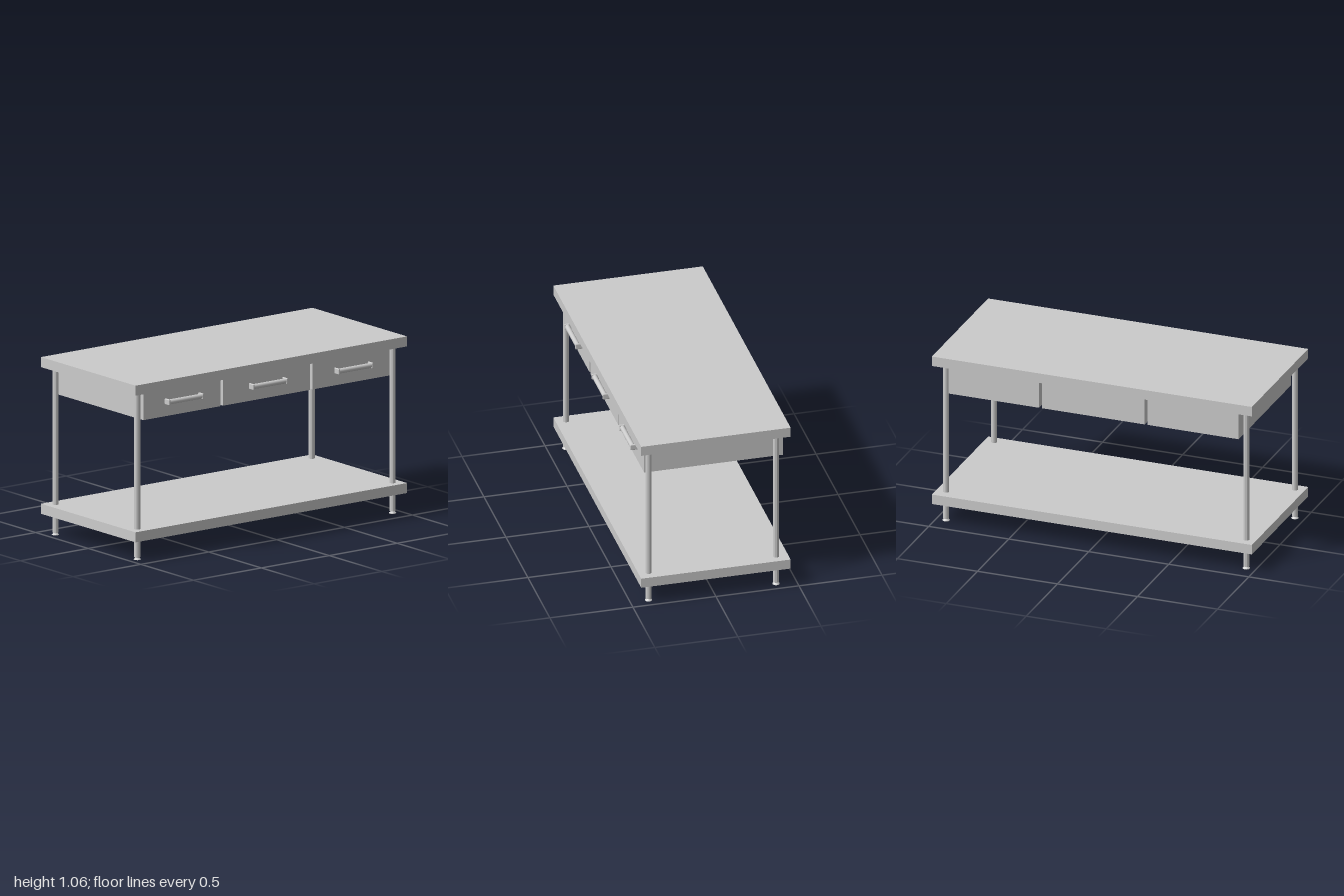
import * as THREE from 'three';
import { RoundedBoxGeometry } from 'three/addons/geometries/RoundedBoxGeometry.js';

const material = new THREE.MeshStandardMaterial({ color: 0xcccccc });
const facetedMaterial = new THREE.MeshStandardMaterial({ color: 0xcccccc, flatShading: true });
const sheetMaterial = new THREE.MeshStandardMaterial({ color: 0xcccccc, side: THREE.DoubleSide });

function add(parent, name, geometry, x, y, z, mat = material) {
  const mesh = new THREE.Mesh(geometry, mat);
  mesh.name = name;
  mesh.position.set(x, y, z);
  parent.add(mesh);
  return mesh;
}

// Drawer box spanning x0..x1 with its bar handle
function createDrawer(name, x0, x1, handleX) {
  const drawer = new THREE.Group();
  drawer.name = name;
  const back = -0.43, front = 0.407;
  add(drawer, 'drawerBox', new THREE.BoxGeometry(x1 - x0, 0.168, front - back),
    (x0 + x1) / 2, 0.916, (front + back) / 2);

  const handle = new THREE.Group();
  handle.name = 'handle';
  for (const side of [-1, 1]) {
    add(handle, 'handlePost', new RoundedBoxGeometry(0.012, 0.036, 0.045, 2, 0.005),
      handleX + side * 0.123, 0.921, 0.4275);
  }
  const bar = add(handle, 'handleBar', new THREE.CylinderGeometry(0.015, 0.015, 0.24, 16),
    handleX, 0.921, 0.433);
  bar.rotation.z = Math.PI / 2;
  drawer.add(handle);
  return drawer;
}

// Folded sheet shelf: a top panel with a skirt all round, open underneath
function createShelf() {
  const shelf = new THREE.Group();
  shelf.name = 'lowerShelf';
  const top = 0.182, height = 0.06;
  const panel = add(shelf, 'shelfPanel', new THREE.PlaneGeometry(2, 0.9), 0, top, 0, sheetMaterial);
  panel.rotation.x = -Math.PI / 2;
  for (const side of [-1, 1]) {
    const long = add(shelf, 'longSkirt', new THREE.PlaneGeometry(2, height),
      0, top - height / 2, side * 0.45, sheetMaterial);
    long.rotation.y = side > 0 ? 0 : Math.PI;
    const end = add(shelf, 'endSkirt', new THREE.PlaneGeometry(0.9, height),
      side, top - height / 2, 0, sheetMaterial);
    end.rotation.y = side * Math.PI / 2;
  }
  return shelf;
}

// Faceted leg with a flared levelling foot
function createLeg(name, x, z) {
  const leg = new THREE.Group();
  leg.name = name;
  add(leg, 'post', new THREE.CylinderGeometry(0.018, 0.018, 0.986, 12), 0, 0.507, 0, facetedMaterial);
  const profile = [[0, 0], [0.022, 0], [0.022, 0.002], [0.012, 0.011], [0.012, 0.014]]
    .map(([r, y]) => new THREE.Vector2(r, y));
  add(leg, 'foot', new THREE.LatheGeometry(profile, 12), 0, 0, 0, facetedMaterial);
  leg.position.set(x, 0, z);
  return leg;
}

export function createModel() {
  const table = new THREE.Group();
  table.name = 'workTable';

  // Solid top and open-bottomed shelf
  add(table, 'tableTop', new THREE.BoxGeometry(2, 0.06, 0.9), 0, 1.03, 0);
  table.add(createShelf());

  // Three drawers
  table.add(
    createDrawer('rightDrawer', -0.91, -0.34, -0.624),
    createDrawer('middleDrawer', -0.322, 0.318, -0.004),
    createDrawer('leftDrawer', 0.337, 0.905, 0.625),
  );

  // Four legs
  table.add(
    createLeg('frontRightLeg', -0.941, 0.39),
    createLeg('frontLeftLeg', 0.939, 0.39),
    createLeg('backRightLeg', -0.941, -0.387),
    createLeg('backLeftLeg', 0.939, -0.378),
  );
  return table;
}
